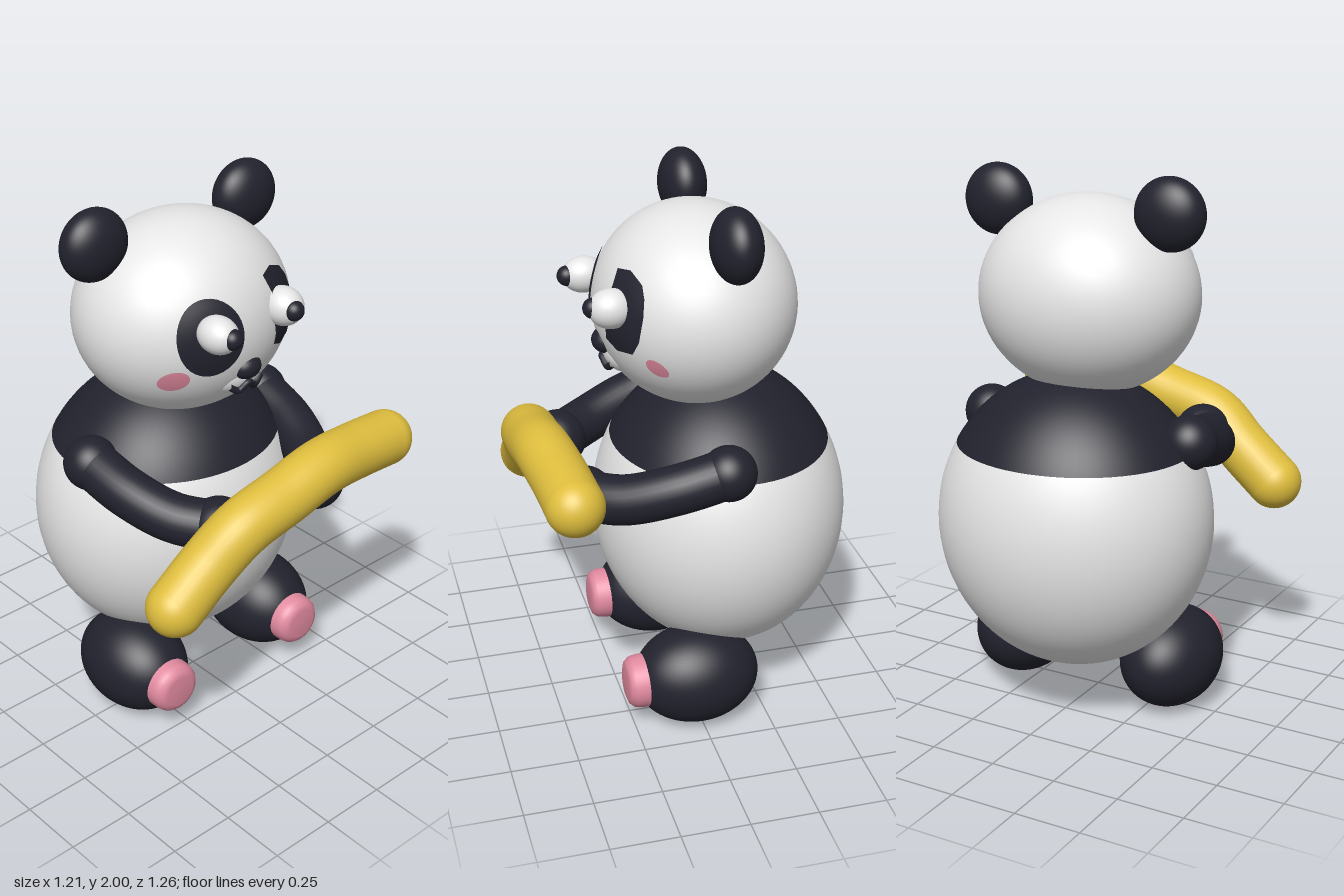
import * as THREE from 'three';

const mat = (name, color) => {
  const m = new THREE.MeshStandardMaterial({ color });
  m.name = name;
  return m;
};
const HEAD = { c: [0, 1.55, -0.065], r: [0.41, 0.36, 0.365] };

export function createModel() {
  const white = mat('white fur', 0xe6e6e6);
  const black = mat('black fur', 0x22222e);
  const pink = mat('pink', 0xe28ba0);
  const yellow = mat('yellow', 0xdfbe3e);
  const brown = mat('brown tip', 0x80602a);
  const root = new THREE.Group();
  root.name = 'bear';

  const add = (name, geometry, material) => {
    const mesh = new THREE.Mesh(geometry, material);
    mesh.name = name;
    root.add(mesh);
    return mesh;
  };
  // Ellipsoid, optionally only a band of it between two polar angles
  const blob = (name, material, c, r, from = 0, to = Math.PI) => {
    const g = new THREE.SphereGeometry(1, 64, 40, 0, Math.PI * 2, from, to - from);
    const mesh = add(name, g, material);
    mesh.scale.set(...r);
    mesh.position.set(...c);
    return mesh;
  };
  // Smooth limb with rounded ends
  const limb = (name, material, pts, radius, endRadii) => {
    const v = pts.map(p => new THREE.Vector3(...p));
    const curve = new THREE.CatmullRomCurve3(v, false, 'centripetal');
    add(name, new THREE.TubeGeometry(curve, 48, radius, 28), material);
    [pts[0], pts[pts.length - 1]].forEach((p, i) =>
      blob(name + 'End', material, p, [endRadii[i], endRadii[i], endRadii[i]]));
  };
  // Thin patch lying on the front of the head: rings shrinking toward a centre
  const facePatch = (name, material, cx, cy, outline) => {
    const pos = [], idx = [], n = outline.length, rings = 6;
    for (let k = 0; k <= rings; k++) {
      for (const [ox, oy] of outline) {
        const x = cx + (ox - cx) * k / rings, y = cy + (oy - cy) * k / rings;
        const u = (x - HEAD.c[0]) / HEAD.r[0], w = (y - HEAD.c[1]) / HEAD.r[1];
        pos.push(x, y, HEAD.c[2] + HEAD.r[2] * Math.sqrt(Math.max(0, 1 - u * u - w * w)) + 0.006);
      }
    }
    for (let k = 0; k < rings; k++) {
      for (let i = 0; i < n; i++) {
        const a = k * n + i, b = k * n + (i + 1) % n;
        idx.push(a, a + n, b + n, a, b + n, b);
      }
    }
    const g = new THREE.BufferGeometry();
    g.setAttribute('position', new THREE.Float32BufferAttribute(pos, 3));
    g.setIndex(idx);
    g.computeVertexNormals();
    add(name, g, material);
  };
  const oval = (cx, cy, rx, ry) => Array.from({ length: 36 }, (_, i) => {
    const a = i / 36 * Math.PI * 2;
    return [cx + rx * Math.cos(a), cy + ry * Math.sin(a)];
  });

  // Torso, with black shoulders above y = 1.02
  const bodyC = [0.005, 0.735, -0.16], bodyR = [0.515, 0.55, 0.47];
  const cut = Math.acos((1.02 - bodyC[1]) / bodyR[1]);
  blob('shoulders', black, bodyC, bodyR, 0, cut);
  blob('belly', white, bodyC, bodyR, cut, Math.PI);

  // Head
  blob('head', white, HEAD.c, HEAD.r);
  blob('muzzle', white, [0.01, 1.4, 0.2], [0.12, 0.08, 0.075]);
  blob('nose', black, [0.012, 1.437, 0.262], [0.057, 0.046, 0.05]);
  const mouth = new THREE.CatmullRomCurve3([
    [-0.06, 1.375, 0.256], [-0.025, 1.353, 0.264], [0.012, 1.378, 0.275],
    [0.05, 1.35, 0.264], [0.088, 1.375, 0.254],
  ].map(p => new THREE.Vector3(...p)));
  add('mouth', new THREE.TubeGeometry(mouth, 32, 0.013, 10), black);

  // Eye patches and cheeks
  facePatch('rightEyePatch', black, -0.15, 1.592, oval(-0.15, 1.592, 0.115, 0.138));
  facePatch('leftEyePatch', black, 0.19, 1.61, [
    [0.12, 1.62], [0.13, 1.53], [0.125, 1.49], [0.18, 1.465], [0.25, 1.475], [0.282, 1.53],
    [0.288, 1.62], [0.27, 1.68], [0.24, 1.72], [0.17, 1.75], [0.11, 1.74], [0.13, 1.68],
  ]);
  facePatch('rightCheek', pink, -0.262, 1.443, oval(-0.262, 1.443, 0.043, 0.042));
  facePatch('leftCheek', pink, 0.31, 1.44, oval(0.31, 1.44, 0.025, 0.034));

  // Bulging eyes with pupils
  blob('rightEye', white, [-0.155, 1.625, 0.3], [0.066, 0.066, 0.08]);
  blob('rightPupil', black, [-0.147, 1.628, 0.361], [0.037, 0.037, 0.038]);
  blob('leftEye', white, [0.172, 1.62, 0.275], [0.07, 0.07, 0.08]);
  blob('leftPupil', black, [0.165, 1.625, 0.335], [0.037, 0.037, 0.038]);

  // Rounded foot pad profile, revolved then turned to face forward
  const padProfile = [[0, 0.1], [0.06, 0.099], [0.08, 0.092], [0.094, 0.075], [0.099, 0.05], [0.1, 0]]
    .reverse().map(p => new THREE.Vector2(...p));

  for (const s of [-1, 1]) {
    const side = s < 0 ? 'right' : 'left';
    blob(side + 'Ear', black, [s * 0.345, 1.87, -0.115], [0.132, 0.13, 0.088]);
    limb(side + 'Arm', black,
      [[s * 0.415, 1.06, -0.08], [s * 0.395, 1.01, 0.1], [s * 0.33, 0.96, 0.27], [s * 0.235, 0.945, 0.4]],
      0.09, [0.1, 0.108]);
    const fx = s * 0.318 + 0.007;
    blob(side + 'Foot', black, [fx, 0.187, 0.01], [0.182, 0.187, 0.235]);
    const pad = add(side + 'FootPad', new THREE.LatheGeometry(padProfile, 40), pink);
    pad.rotation.x = Math.PI / 2;
    pad.position.set(fx, 0.185, 0.182);
  }

  // Long bent yellow fruit held across the chest
  limb('fruit', yellow, [
    [-0.503, 0.768, 0.475], [-0.36, 0.885, 0.485], [-0.23, 0.99, 0.51], [-0.04, 1.045, 0.52],
    [0.14, 1.088, 0.52], [0.32, 1.075, 0.5], [0.503, 1.055, 0.485],
  ], 0.104, [0.104, 0.104]);
  blob('fruitTip', brown, [0.585, 1.065, 0.475], [0.02, 0.025, 0.03]);

  return root;
}
